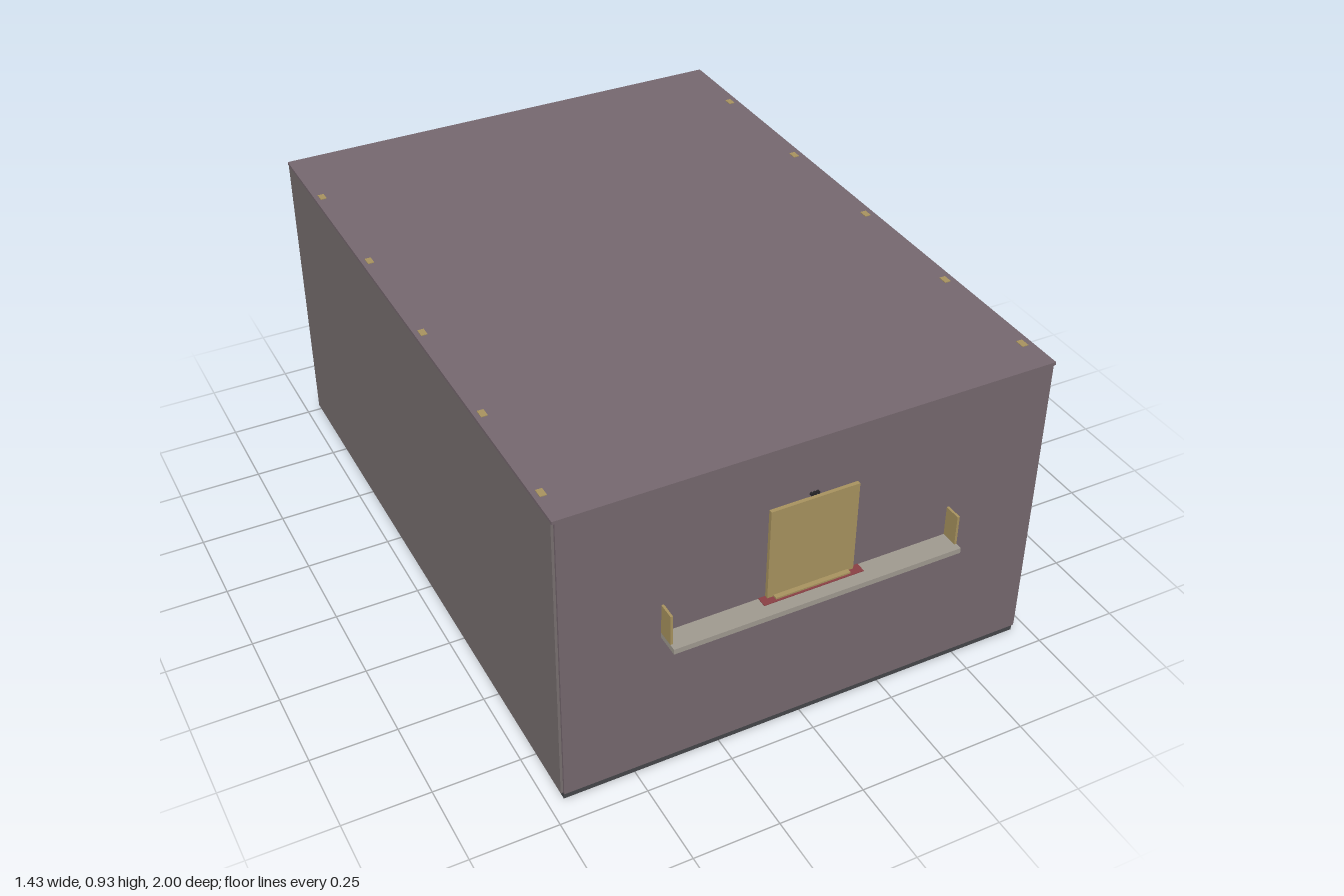
import * as THREE from 'three';

const material = (color) => new THREE.MeshStandardMaterial({ color });

export function createModel() {
  const model = new THREE.Group();
  const plum = material(0x76686f);
  const taupe = material(0x787070);
  const charcoal = material(0x45474a);
  const wood = material(0xa8935f);
  const stone = material(0xa09a90);
  const red = material(0x8a4045);
  const black = material(0x252528);

  // Box given by its lower and upper corners
  const box = (name, mat, [x0, y0, z0], [x1, y1, z1]) => {
    const mesh = new THREE.Mesh(new THREE.BoxGeometry(x1 - x0, y1 - y0, z1 - z0), mat);
    mesh.position.set((x0 + x1) / 2, (y0 + y1) / 2, (z0 + z1) / 2);
    mesh.name = name;
    model.add(mesh);
    return mesh;
  };

  // Base and body core, with outer panels leaving a seam at each corner
  box('base', charcoal, [-0.705, 0, -0.993], [0.705, 0.024, 0.925]);
  box('bodyCore', charcoal, [-0.706, 0.022, -0.993], [0.706, 0.922, 0.924]);
  box('frontPanel', plum, [-0.706, 0.022, 0.922], [0.706, 0.922, 0.931]);
  box('backPanel', plum, [-0.706, 0.022, -1], [0.706, 0.922, -0.992]);
  for (const s of [-1, 1]) {
    const side = box('sidePanel', taupe, [-0.004, 0.022, -0.993], [0.004, 0.922, 0.924]);
    side.position.x = s * 0.709;
  }
  box('roof', plum, [-0.713, 0.921, -1], [0.713, 0.93, 0.931]);

  // Small pegs along both roof edges
  for (const x of [-0.69, 0.686]) {
    for (const z of [-0.745, -0.34, 0.065, 0.47, 0.822]) {
      box('roofPeg', wood, [x - 0.009, 0.92, z - 0.014], [x + 0.009, 0.932, z + 0.014]);
    }
  }

  // Front ledge with upright end posts
  box('ledge', stone, [-0.428, 0.452, 0.93], [0.424, 0.468, 1]);
  for (const x of [-0.4245, 0.4205]) {
    box('ledgePost', wood, [x - 0.0035, 0.467, 0.93], [x + 0.0035, 0.56, 0.98]);
  }

  // Door, mat and sill
  box('door', wood, [-0.13, 0.469, 0.93], [0.127, 0.751, 0.942]);
  box('mat', red, [-0.15, 0.467, 0.93], [0.147, 0.47, 0.962]);
  box('doorSill', wood, [-0.112, 0.468, 0.94], [0.11, 0.475, 0.956]);

  // Row of small studs above the door
  for (const x of [-0.011, -0.002, 0.007]) {
    const stud = new THREE.Mesh(new THREE.CylinderGeometry(0.0045, 0.0045, 0.008, 12), black);
    stud.rotation.x = Math.PI / 2;
    stud.position.set(x, 0.761, 0.934);
    stud.name = 'stud';
    model.add(stud);
  }
  return model;
}
